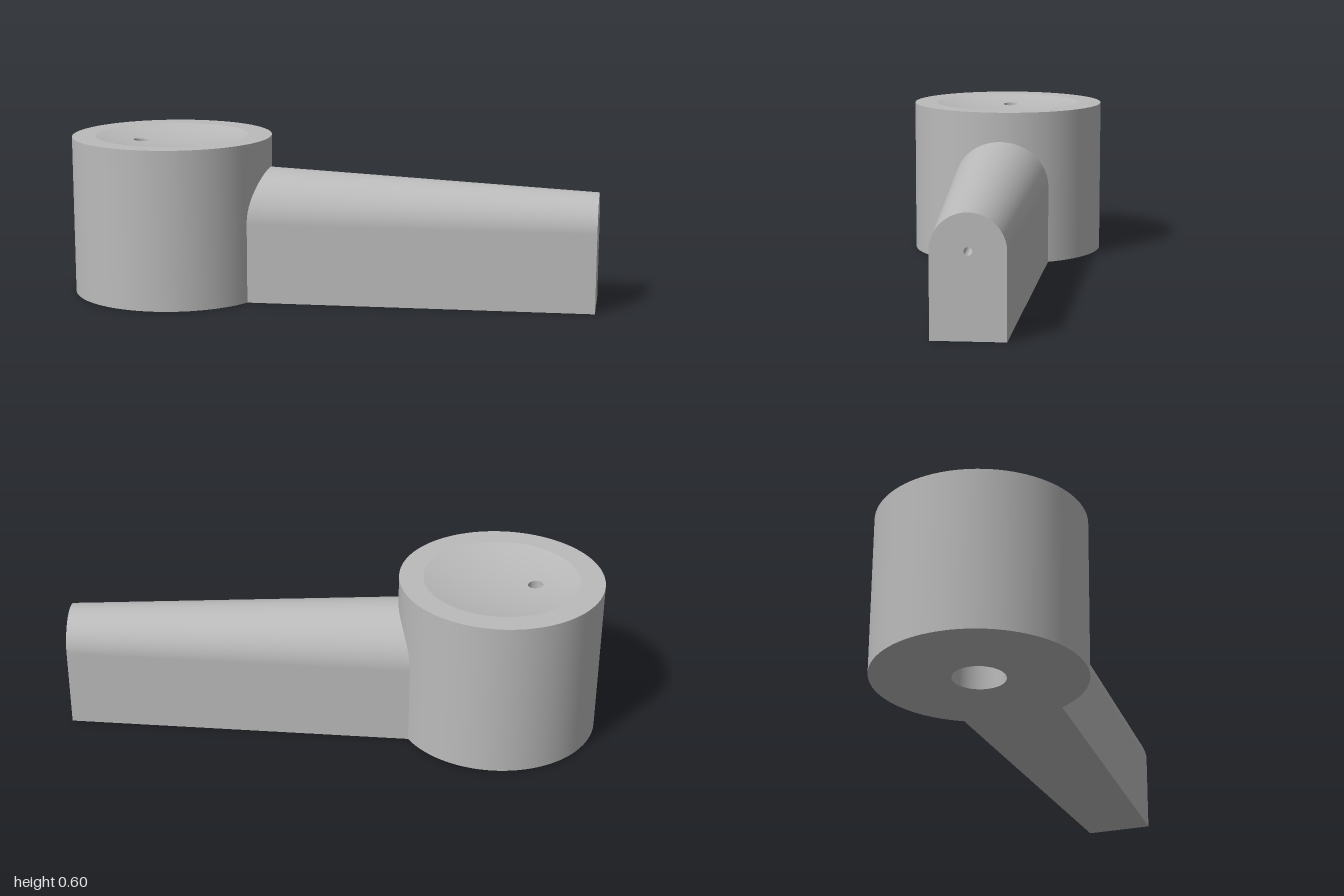
import * as THREE from 'three';

const CX = -0.62, R = 0.38, H = 0.6;                    // round body
const DISH_R = 0.29, DISH_DEPTH = 0.03;                 // shallow dish on top
const HOLE_X = -0.745, HOLE_R = 0.028, HOLE_FLOOR = 0.35;
const SOCKET_R = 0.095, SOCKET_H = 0.25;                // socket underneath
const END_R = 0.014, END_DEPTH = 0.12;                  // small bore in the arm end
const ARCH_Y = 0.3;                                     // where the arm's arch springs

// Smooth grid surface from a point rule
function grid(nu, nv, point) {
  const pos = [], idx = [];
  for (let i = 0; i <= nu; i++) {
    for (let j = 0; j <= nv; j++) pos.push(...point(i / nu, j / nv));
  }
  for (let i = 0; i < nu; i++) {
    for (let j = 0; j < nv; j++) {
      const a = i * (nv + 1) + j, b = a + 1, c = a + nv + 1, d = c + 1;
      idx.push(a, c, b, b, c, d);
    }
  }
  const g = new THREE.BufferGeometry();
  g.setAttribute('position', new THREE.Float32BufferAttribute(pos, 3));
  g.setIndex(idx);
  g.computeVertexNormals();
  return g;
}

export function createModel() {
  const model = new THREE.Group();
  model.name = 'leverHandle';
  const grey = new THREE.MeshStandardMaterial({ color: 0xbbbbbb });
  grey.name = 'grey';

  const add = (name, geometry, parent) => {
    const mesh = new THREE.Mesh(geometry, grey);
    mesh.name = name;
    parent.add(mesh);
    return mesh;
  };
  const section = (name) => {
    const g = new THREE.Group();
    g.name = name;
    model.add(g);
    return g;
  };
  // One lathe per straight profile segment keeps the corners sharp
  const turned = (name, profile, parent, segments = 96) => {
    const g = new THREE.Group();
    g.name = name;
    for (let i = 0; i + 1 < profile.length; i++) {
      const pts = [profile[i], profile[i + 1]].map(([x, y]) => new THREE.Vector2(x, y));
      add(name + 'Face', new THREE.LatheGeometry(pts, segments), g);
    }
    parent.add(g);
    return g;
  };

  // Round body with the socket underneath and the flat rim on top
  const body = section('body');
  turned('bodyShell', [
    [0, SOCKET_H], [SOCKET_R, SOCKET_H], [SOCKET_R, 0], [R, 0], [R, H], [DISH_R, H],
  ], body).position.x = CX;

  // Dish, spread from the off-centre hole out to the rim
  const dishY = (x, z) => H - DISH_DEPTH * (1 - ((x - CX) ** 2 + z * z) / DISH_R ** 2);
  const ring = (t, v) => {
    const a = v * Math.PI * 2, r = THREE.MathUtils.lerp(HOLE_R, DISH_R, t);
    const x = THREE.MathUtils.lerp(HOLE_X, CX, t) + r * Math.cos(a), z = -r * Math.sin(a);
    return [x, dishY(x, z), z];
  };
  add('dish', grid(16, 96, ring), body);
  add('topHoleWall', grid(1, 48, (u, v) => {
    const [x, y, z] = ring(0, v);
    return [x, u === 0 ? HOLE_FLOOR : y, z];
  }), body);
  turned('topHoleFloor', [[HOLE_R, HOLE_FLOOR], [0, HOLE_FLOOR]], body, 48).position.x = HOLE_X;

  // Tapering arched arm, its root trimmed to the round body
  const arm = section('arm');
  const halfWidth = (x) => 0.128 + (1 - x) * 0.0457;
  const rootX = (c) => {
    let x = -0.3;
    for (let i = 0; i < 12; i++) x = CX + Math.sqrt(R * R - (c * halfWidth(x)) ** 2);
    return x - 0.0005;
  };
  const N = 48;
  const outline = [[1, 0, 0]];                          // [z factor, base y, arch factor]
  for (let i = 0; i <= N; i++) {
    const a = (i / N) * Math.PI;
    outline.push([Math.cos(a), ARCH_Y, Math.sin(a)]);
  }
  outline.push([-1, 0, 0]);
  const armPoint = (u, v) => {
    const [c, y, s] = outline[Math.round(v * (outline.length - 1))];
    const x = THREE.MathUtils.lerp(rootX(c), 1, u), w = halfWidth(x);
    return [x, y + s * w, c * w];
  };
  add('armSides', grid(12, outline.length - 1, armPoint), arm);

  // Flat underside, following the body's curve at the root
  const under = [];
  for (let i = 0; i <= 24; i++) {
    const c = -1 + i / 12, x = rootX(c);
    under.push(new THREE.Vector2(x, c * halfWidth(x)));
  }
  const w1 = halfWidth(1);
  under.push(new THREE.Vector2(1, w1), new THREE.Vector2(1, -w1));
  add('armUnderside', new THREE.ShapeGeometry(new THREE.Shape(under)).rotateX(Math.PI / 2), arm);

  // Arched end face with its small bore
  const end = new THREE.Shape(outline.map(([c, y, s]) => new THREE.Vector2(c * w1, y + s * w1)));
  end.holes.push(new THREE.Path().absarc(0, ARCH_Y, END_R, 0, Math.PI * 2, true));
  add('armEnd', new THREE.ShapeGeometry(end, 16).rotateY(Math.PI / 2).translate(1, 0, 0), arm);
  const bore = turned('endBore', [[END_R, 0], [END_R, -END_DEPTH], [0, -END_DEPTH]], arm, 32);
  bore.rotation.z = -Math.PI / 2;
  bore.position.set(1, ARCH_Y, 0);

  return model;
}
